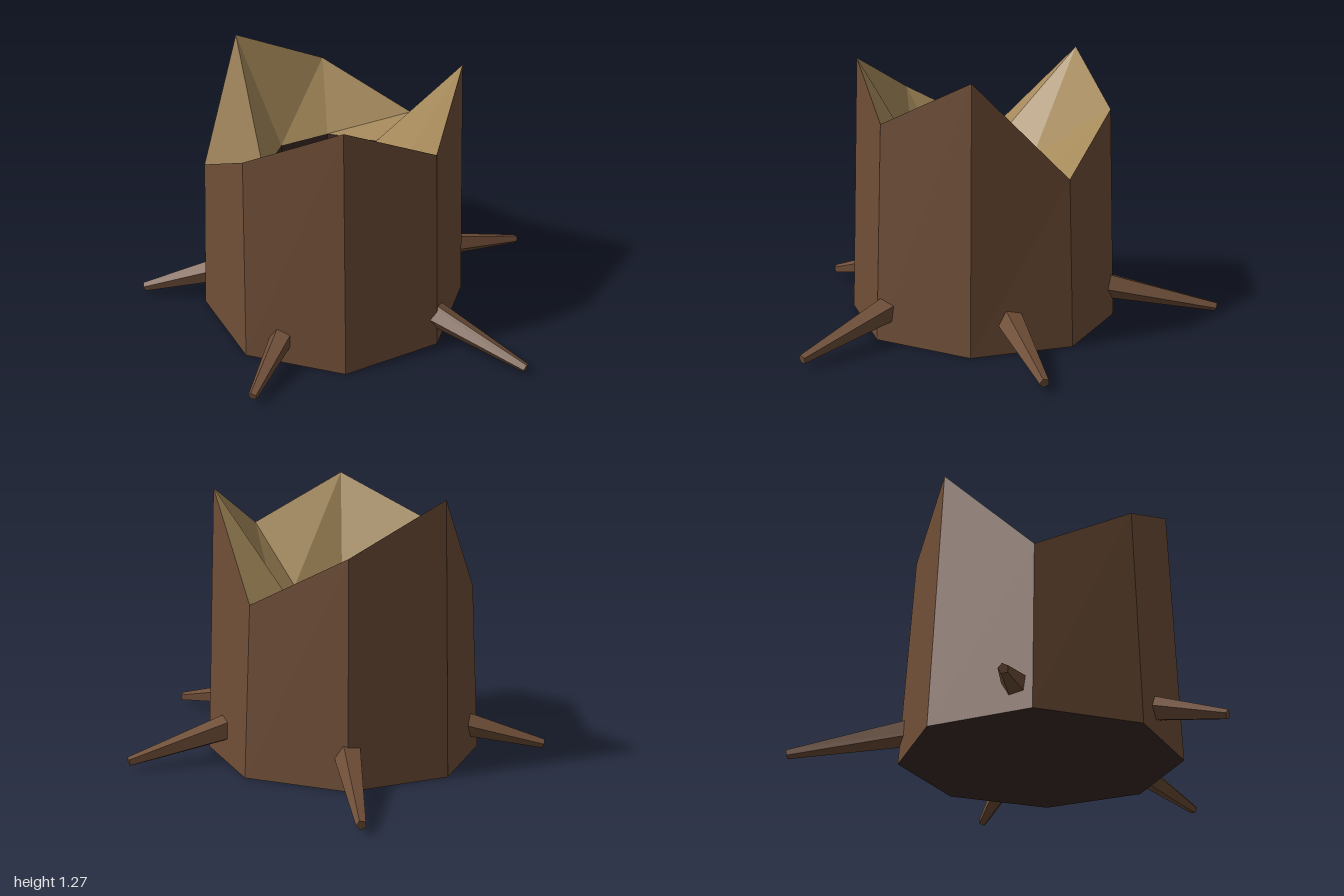
import * as THREE from 'three';

const SIDES = 8, CX = -0.13, CZ = 0.03;

function material(name, color) {
  const m = new THREE.MeshStandardMaterial({ color, flatShading: true });
  m.name = name;
  return m;
}

// Octagonal loop of points; y may be one height or one height per corner
function loop(radius, y) {
  return Array.from({ length: SIDES }, (_, i) => {
    const t = (i / SIDES) * Math.PI * 2;
    return [CX + radius * Math.cos(t), Array.isArray(y) ? y[i] : y, CZ + radius * Math.sin(t)];
  });
}

// Band of triangles between two loops (a radius of zero makes a cap)
function band(name, mat, lower, upper) {
  const pos = [];
  for (let i = 0; i < SIDES; i++) {
    const j = (i + 1) % SIDES;
    pos.push(...lower[i], ...upper[i], ...lower[j]);
    pos.push(...lower[j], ...upper[i], ...upper[j]);
  }
  const g = new THREE.BufferGeometry();
  g.setAttribute('position', new THREE.Float32BufferAttribute(pos, 3));
  g.computeVertexNormals();
  const mesh = new THREE.Mesh(g, mat);
  mesh.name = name;
  return mesh;
}

// Tapered root from inside the trunk out to its tip
function root(mat, [x0, z0], [x1, z1]) {
  const a = new THREE.Vector3(x0, 0.24, z0), b = new THREE.Vector3(x1, 0.042, z1);
  const dir = b.clone().sub(a), len = dir.length();
  const mesh = new THREE.Mesh(new THREE.CylinderGeometry(0.023, 0.1, len, 5), mat);
  mesh.quaternion.setFromUnitVectors(new THREE.Vector3(0, 1, 0), dir.normalize());
  mesh.position.copy(a).lerp(b, 0.5);
  mesh.name = 'root';
  return mesh;
}

export function createModel() {
  const group = new THREE.Group();
  group.name = 'hollowStump';
  const bark = material('bark', 0x6f4e37);
  const wood = material('paleWood', 0xa68a5b);
  const dark = material('darkWood', 0x3b2b26);

  // Cross-sections: base, jagged rim, mouth of the hollow, floor
  const base = loop(0.655, 0);
  const rim = loop(0.614, [1.04, 1.27, 1.05, 0.8, 1.27, 1.04, 0.8, 1.27]);
  const mouth = loop(0.335, 0.75);
  const floor = loop(0.283, 0.31);

  group.add(
    band('underside', dark, loop(0, 0), base),
    band('trunk', bark, base, rim),
    band('brokenTop', wood, rim, mouth),
    band('hollowWall', dark, mouth, floor),
    band('hollowFloor', wood, floor, loop(0, 0.31)),
  );

  // Roots around the foot, each from its inner end to its tip
  [
    [[0.06, 0.04], [0.99, -0.04]],
    [[-0.1, 0.22], [0.14, 0.925]],
    [[-0.3, 0.12], [-0.88, 0.64]],
    [[-0.24, -0.11], [-0.98, -0.765]],
    [[-0.02, -0.12], [0.33, -0.93]],
  ].forEach(([inner, tip]) => group.add(root(bark, inner, tip)));

  return group;
}
